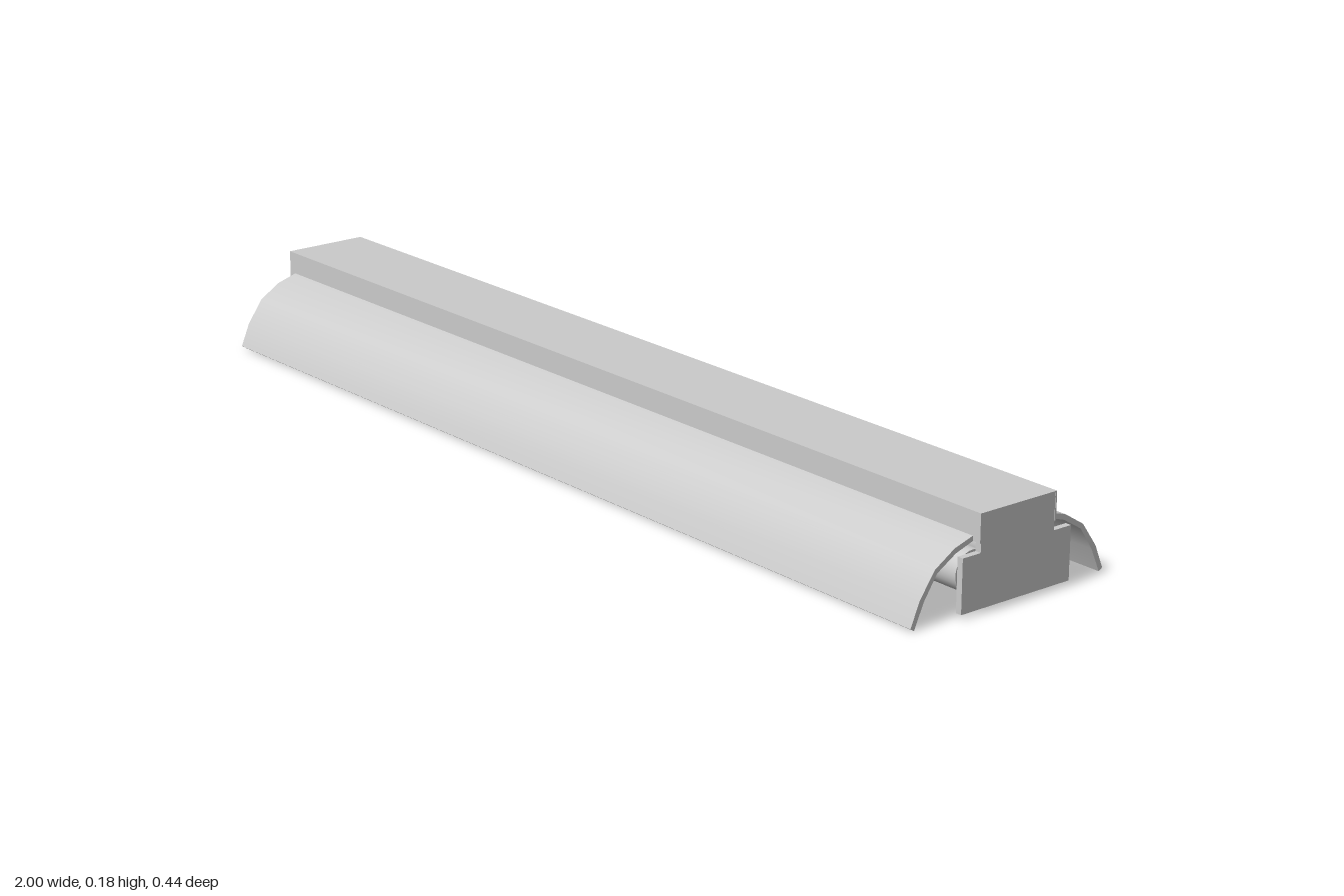
import * as THREE from 'three';
import { toCreasedNormals } from 'three/addons/utils/BufferGeometryUtils.js';

const material = new THREE.MeshStandardMaterial({ color: 0xcccccc });

function add(parent, name, geometry, x = 0, y = 0, z = 0) {
  const mesh = new THREE.Mesh(geometry, material);
  mesh.name = name;
  mesh.position.set(x, y, z);
  parent.add(mesh);
  return mesh;
}

// Extrude a (z, y) cross-section along x, centred on x = 0
function extrudeAlongX(points, length) {
  const shape = new THREE.Shape(points.map(([z, y]) => new THREE.Vector2(-z, y)));
  const geometry = new THREE.ExtrudeGeometry(shape, { depth: length, bevelEnabled: false });
  geometry.translate(0, 0, -length / 2);
  geometry.rotateY(Math.PI / 2);
  return toCreasedNormals(geometry, 0.7);
}

export function createModel() {
  const model = new THREE.Group();
  model.name = 'twinTubeLight';

  // Sheet-metal channel, open towards the tubes
  add(model, 'housingChannel', extrudeAlongX([
    [-0.087, 0.125], [-0.087, 0.177], [0.087, 0.177], [0.087, 0.125],
    [0.084, 0.125], [0.084, 0.174], [-0.084, 0.174], [-0.084, 0.125],
  ], 2));

  // Cover plate closing the channel behind the tubes
  add(model, 'channelCover', new THREE.BoxGeometry(1.97, 0.004, 0.168), 0, 0.127, 0);

  // Curved reflector wings
  const wing = [
    [0.087, 0.134], [0.1275, 0.1215], [0.17, 0.095], [0.2025, 0.049], [0.221, 0.005],
    [0.213, 0], [0.193, 0.045], [0.165, 0.0875], [0.124, 0.1125], [0.086, 0.125],
  ];
  for (const side of [1, -1]) {
    const name = side > 0 ? 'frontReflector' : 'backReflector';
    add(model, name, extrudeAlongX(wing.map(([z, y]) => [z * side, y]), 1.966));
  }

  // Stepped end plates
  const plate = [
    [-0.124, 0.01], [0.124, 0.01], [0.124, 0.108], [0.084, 0.108],
    [0.084, 0.174], [-0.084, 0.174], [-0.084, 0.108], [-0.124, 0.108],
  ];
  for (const side of [1, -1]) {
    add(model, side > 0 ? 'leftEndPlate' : 'rightEndPlate', extrudeAlongX(plate, 0.012), side * 0.993);
  }

  // Tubes with their end sockets
  for (const z of [-0.063, 0.063]) {
    const lamp = new THREE.Group();
    lamp.name = z > 0 ? 'frontLamp' : 'backLamp';
    lamp.position.set(0, 0.06, z);
    add(lamp, 'tube', new THREE.CylinderGeometry(0.038, 0.038, 1.92, 32)).rotation.z = Math.PI / 2;
    for (const side of [1, -1]) {
      add(lamp, 'socket', new THREE.CylinderGeometry(0.033, 0.033, 0.03, 32), side * 0.973).rotation.z = Math.PI / 2;
    }
    model.add(lamp);
  }
  return model;
}
